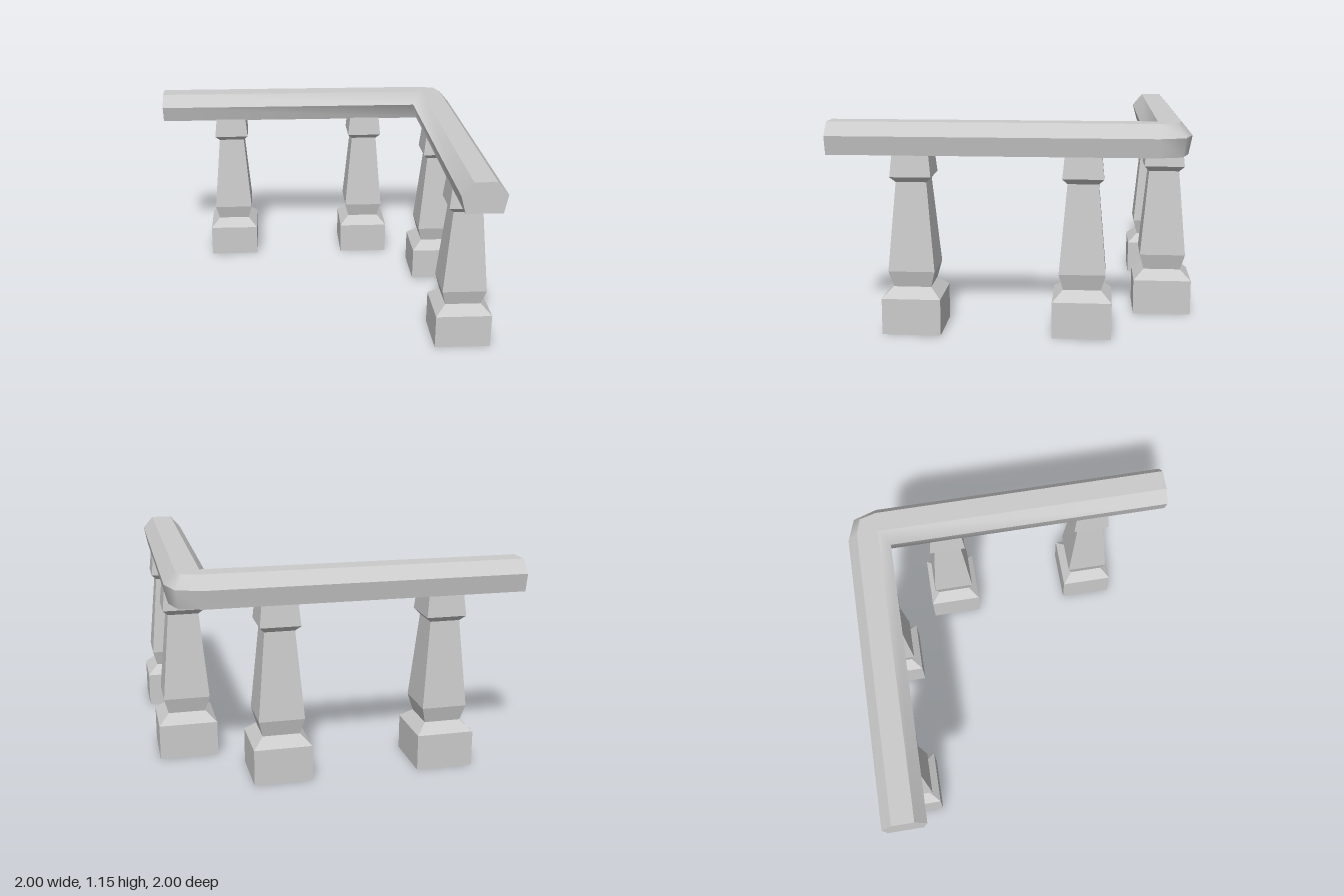
import * as THREE from 'three';
import { mergeGeometries, mergeVertices } from 'three/addons/utils/BufferGeometryUtils.js';

const material = new THREE.MeshStandardMaterial({ color: 0xcccccc });

// Square baluster: a four-sided lathe of half-width / height pairs
function balusterGeometry() {
  const profile = [
    [0, 0], [0.16, 0], [0.16, 0.2], [0.102, 0.255], [0.126, 0.345],
    [0.083, 0.83], [0.111, 0.86], [0.098, 0.985], [0, 0.985],
  ].map(([r, y]) => new THREE.Vector2(r * Math.SQRT2, y));
  const geo = new THREE.LatheGeometry(profile, 4, Math.PI / 4).toNonIndexed();
  geo.computeVertexNormals();
  return geo;
}

// Six-sided handrail: mitred on the inside of the corner, rounded on the outside
function railGeometry() {
  const P = 0.77; // corner pivot at (P, -P)
  // offset outward from the pivot line, and height
  const section = [[0.125, 1.15], [0, 1.15], [-0.063, 1.075], [-0.035, 0.975], [0.167, 0.975], [0.187, 1.078]];
  const stations = [
    ([a, y]) => [-1, y, -P - a],
    ([a, y]) => (a > 0 ? [P, y, -P - a] : [P + a, y, -P - a]),
    ([a, y]) => {
      const d = a > 0 ? (a + 0.012) * Math.SQRT1_2 : a;
      return [P + d, y, -P - d];
    },
    ([a, y]) => (a > 0 ? [P + a, y, -P] : [P + a, y, -P - a]),
    ([a, y]) => [P + a, y, 1],
  ];
  const rings = stations.map((place) => section.map(place));
  const n = section.length;

  const build = (triangles) => {
    const geo = new THREE.BufferGeometry();
    geo.setAttribute('position', new THREE.Float32BufferAttribute(triangles.flat(), 3));
    const merged = mergeVertices(geo, 1e-4);
    merged.computeVertexNormals();
    return merged.toNonIndexed();
  };

  // one strip per side, smooth along its length with hard long edges
  const parts = section.map((_, i) => {
    const j = (i + 1) % n;
    const tris = [];
    for (let s = 0; s < rings.length - 1; s++) {
      const [r, q] = [rings[s], rings[s + 1]];
      tris.push(r[i], r[j], q[j], r[i], q[j], q[i]);
    }
    return build(tris);
  });

  // end caps
  const first = [...rings[0]].reverse();
  for (const ring of [first, rings[rings.length - 1]]) {
    const tris = [];
    for (let i = 1; i < n - 1; i++) tris.push(ring[0], ring[i], ring[i + 1]);
    parts.push(build(tris));
  }
  return mergeGeometries(parts);
}

export function createModel() {
  const model = new THREE.Group();
  model.name = 'cornerBalustrade';

  const rail = new THREE.Mesh(railGeometry(), material);
  rail.name = 'handrail';
  model.add(rail);

  // Two balusters under each run, slightly deeper across the rail
  const geo = balusterGeometry();
  const addBaluster = (name, x, z, alongX) => {
    const post = new THREE.Mesh(geo, material);
    post.name = name;
    post.position.set(x, 0, z);
    post.scale.set(alongX ? 1 : 1.03, 1, alongX ? 1.03 : 1);
    model.add(post);
  };
  [-0.543, 0.375].forEach((x, i) => addBaluster(`backBaluster${i + 1}`, x, -0.835, true));
  [-0.378, 0.543].forEach((z, i) => addBaluster(`sideBaluster${i + 1}`, 0.835, z, false));

  return model;
}
